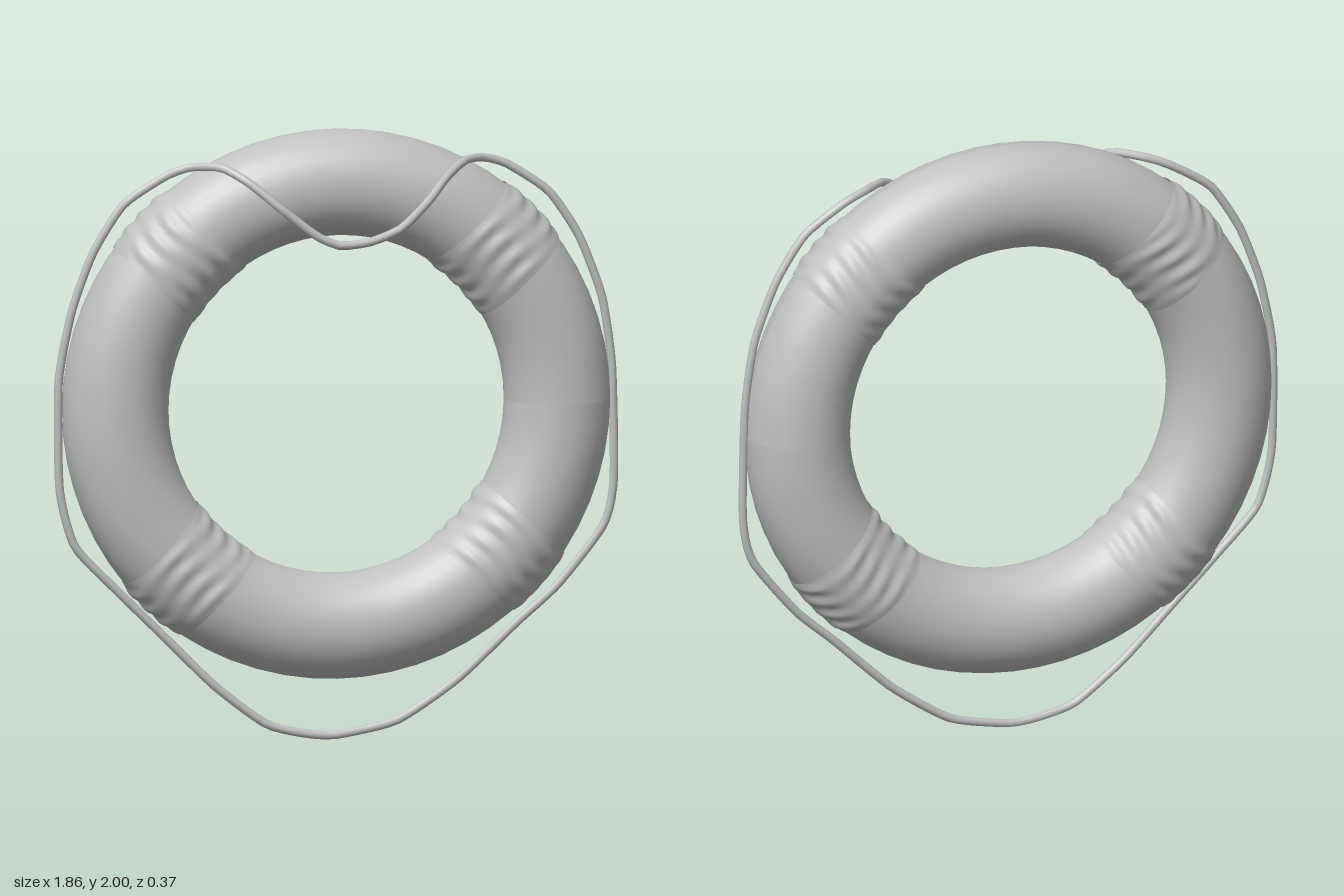
import * as THREE from 'three';
import { mergeVertices } from 'three/addons/utils/BufferGeometryUtils.js';

const RING_R = 0.727, TUBE_R = 0.173, DEPTH = 0.16;   // ring radius, tube radius, half depth
const CENTRE = [0, 1.103, -0.015];

// Wrinkled cloth sleeve round the tube, with parallel straight ends
function bandGeometry(angle, phase) {
  const width = 0.25;
  const geo = new THREE.PlaneGeometry(1, 1, 24, 64);
  const p = geo.attributes.position;
  for (let i = 0; i < p.count; i++) {
    const u = p.getX(i), v = (p.getY(i) + 0.5) * Math.PI * 2;
    // slanted folds that fade in and out around the tube
    const fold = Math.sin(u * 24 + 1.6 * Math.sin(v * 3 + phase) + phase)
      * (0.6 + 0.4 * Math.sin(v * 5 + phase * 2));
    const lift = 0.003 + 0.0045 * (1 + fold) * Math.min(1, (0.5 - Math.abs(u)) * 8);
    const rho = RING_R + (TUBE_R + lift) * Math.cos(v);
    const a = angle + Math.asin(u * width / rho);
    p.setXYZ(i, rho * Math.cos(a), rho * Math.sin(a), (DEPTH + lift) * Math.sin(v));
  }
  geo.deleteAttribute('uv');
  geo.deleteAttribute('normal');
  const merged = mergeVertices(geo, 1e-5);
  merged.computeVertexNormals();
  return merged;
}

export function createModel() {
  const model = new THREE.Group();
  model.name = 'lifebuoy';
  const grey = new THREE.MeshStandardMaterial({ color: 0xc0c0c0 });
  grey.name = 'grey';
  const clothGrey = grey.clone();
  clothGrey.name = 'cloth grey';
  clothGrey.side = THREE.DoubleSide;

  // Float ring
  const ringGeo = new THREE.TorusGeometry(RING_R, TUBE_R, 32, 64);
  ringGeo.scale(1, 1, DEPTH / TUBE_R);
  ringGeo.computeVertexNormals();
  const ring = new THREE.Mesh(ringGeo, grey);
  ring.name = 'floatRing';
  ring.position.set(...CENTRE);
  model.add(ring);

  // Four sleeves on the diagonals
  [44, 136, 227, 318].forEach((deg, i) => {
    const band = new THREE.Mesh(bandGeometry(THREE.MathUtils.degToRad(deg), i * 1.7), clothGrey);
    band.name = 'band' + (i + 1);
    band.position.set(...CENTRE);
    model.add(band);
  });

  // Grab rope: slack loop below, draped over the front at the top
  const Z = -0.015;
  const path = [
    [0, 0.018, Z], [0.2, 0.06, Z], [0.4, 0.19, Z], [0.6, 0.375, Z], [0.73, 0.49, Z],
    [0.88, 0.68, Z], [0.914, 0.83, Z], [0.908, 1.2, Z], [0.875, 1.43, Z], [0.8, 1.63, Z],
    [0.7, 1.78, Z], [0.56, 1.875, Z], [0.48, 1.9, 0.005], [0.41, 1.9, 0.06], [0.34, 1.86, 0.125],
    [0.27, 1.785, 0.165], [0.18, 1.7, 0.171], [0.08, 1.66, 0.171], [-0.02, 1.65, 0.171],
    [-0.1, 1.685, 0.171], [-0.22, 1.78, 0.168], [-0.31, 1.855, 0.135], [-0.39, 1.9, 0.075],
    [-0.48, 1.895, 0.005], [-0.56, 1.865, Z], [-0.7, 1.775, Z], [-0.8, 1.62, Z], [-0.87, 1.43, Z],
    [-0.913, 1.2, Z], [-0.91, 0.85, Z], [-0.86, 0.66, Z], [-0.72, 0.51, Z], [-0.58, 0.37, Z],
    [-0.4, 0.19, Z], [-0.23, 0.06, Z], [-0.1, 0.025, Z],
  ].map((q) => new THREE.Vector3(...q));
  const curve = new THREE.CatmullRomCurve3(path, true, 'catmullrom', 0.3);
  const rope = new THREE.Mesh(new THREE.TubeGeometry(curve, 180, 0.014, 8, true), grey);
  rope.name = 'grabRope';
  model.add(rope);

  return model;
}
